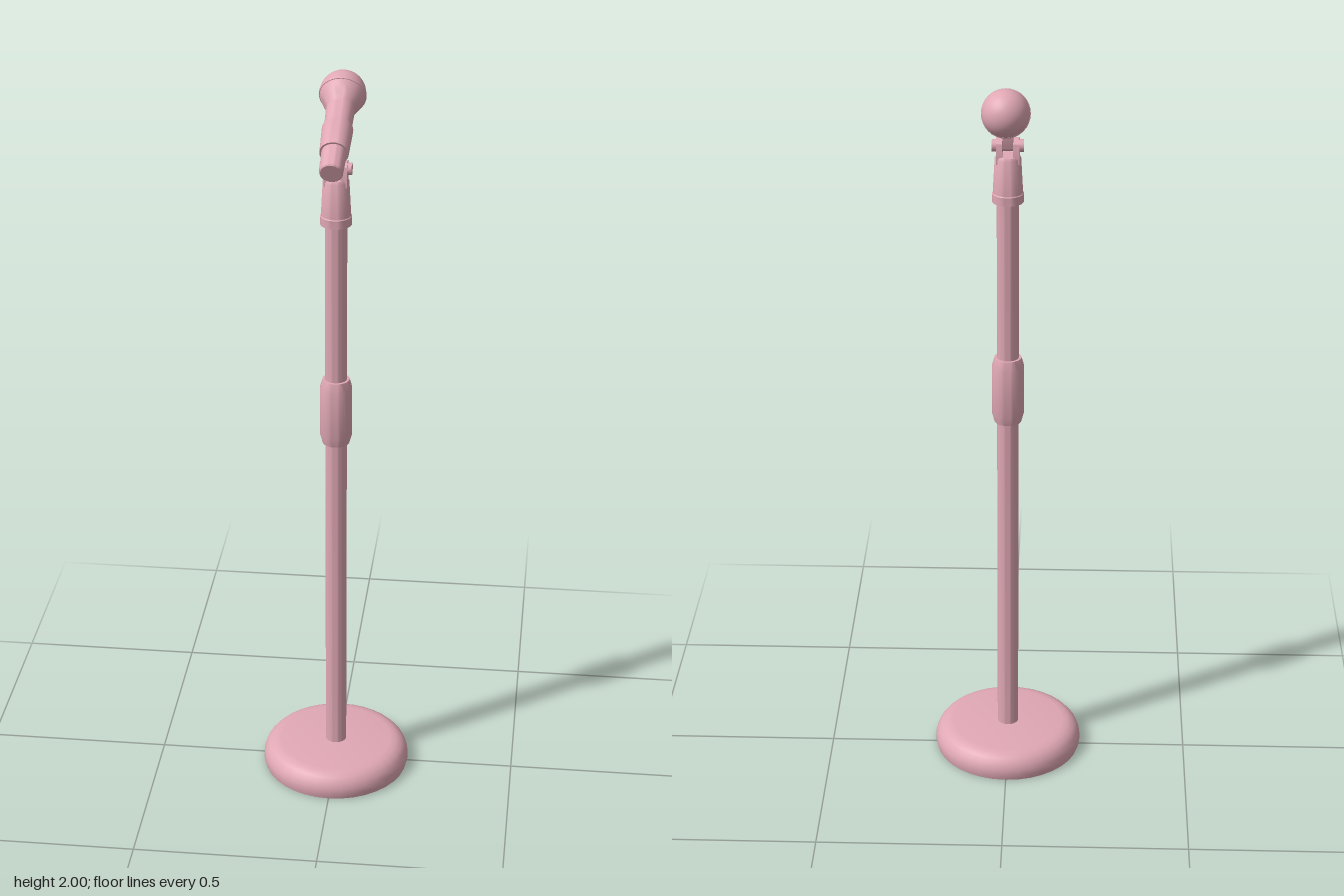
import * as THREE from 'three';
import { toCreasedNormals } from 'three/addons/utils/BufferGeometryUtils.js';

const material = new THREE.MeshStandardMaterial({ color: 0xe0a8b4 });

function add(parent, name, geometry, x = 0, y = 0, z = 0) {
  const mesh = new THREE.Mesh(geometry, material);
  mesh.name = name;
  mesh.position.set(x, y, z);
  parent.add(mesh);
  return mesh;
}

// Turned part from [radius, height] pairs, listed bottom to top on the outside
function turned(points, segments = 32) {
  const profile = points.map(([r, y]) => new THREE.Vector2(r, y));
  return toCreasedNormals(new THREE.LatheGeometry(profile, segments), 0.6);
}

// Upright plate with a round top, thickness along x, centred on its pivot
function roundedPlate(radius, drop, thickness) {
  const shape = new THREE.Shape();
  shape.moveTo(-radius, -drop);
  shape.lineTo(radius, -drop);
  shape.lineTo(radius, 0);
  shape.absarc(0, 0, radius, 0, Math.PI, false);
  shape.closePath();
  const geometry = new THREE.ExtrudeGeometry(shape, { depth: thickness, bevelEnabled: false, curveSegments: 16 });
  geometry.translate(0, 0, -thickness / 2);
  geometry.rotateY(Math.PI / 2);
  return toCreasedNormals(geometry, 0.6);
}

function createStand() {
  const stand = new THREE.Group();
  stand.name = 'stand';
  stand.position.z = 0.01;

  // Domed foot, hollow underneath
  add(stand, 'base', turned([
    [0, 0.055], [0.17, 0.055], [0.186, 0.045], [0.193, 0.025], [0.194, 0],
    [0.201, 0], [0.205, 0.015], [0.204, 0.032], [0.198, 0.048], [0.187, 0.061],
    [0.172, 0.069], [0.155, 0.072], [0, 0.072],
  ], 36));

  // Pole, its end showing below the foot
  add(stand, 'pole', turned([
    [0, 0.045], [0.029, 0.045], [0.029, 1.7], [0, 1.7],
  ]));

  // Height adjusting grip
  add(stand, 'heightClutch', turned([
    [0.029, 1.02], [0.036, 1.02], [0.043, 1.045], [0.043, 1.182], [0.036, 1.207], [0.029, 1.207],
  ]));

  // Tapered socket on top of the pole
  add(stand, 'clipSocket', turned([
    [0.029, 1.647], [0.041, 1.647], [0.041, 1.67], [0.039, 1.672], [0.034, 1.765], [0.03, 1.772], [0, 1.772],
  ]));

  // Fork and pivot bolt
  const pivotY = 1.798;
  for (const side of [-1, 1]) {
    add(stand, 'forkProng', roundedPlate(0.022, 0.045, 0.016), side * 0.022, pivotY, 0);
    const knob = new THREE.CylinderGeometry(0.016, 0.016, 0.012, 20);
    knob.rotateZ(Math.PI / 2);
    add(stand, 'pivotKnob', knob, side * 0.035, pivotY, 0);
  }
  const bolt = new THREE.CylinderGeometry(0.007, 0.007, 0.07, 16);
  bolt.rotateZ(Math.PI / 2);
  add(stand, 'pivotBolt', bolt, 0, pivotY, 0);

  // Tongue hanging from the clip between the prongs
  const tongue = roundedPlate(0.018, 0.055, 0.026);
  tongue.rotateX(Math.PI);
  add(stand, 'clipTongue', tongue, 0, pivotY + 0.004, 0);
  return stand;
}

function createMicrophone() {
  const mic = new THREE.Group();
  mic.name = 'microphone';

  // Tapered handle, flaring into the collar of the head
  add(mic, 'handle', turned([
    [0, 0], [0.027, 0], [0.03, 0.003], [0.037, 0.235], [0.037, 0.244],
    [0.04, 0.249], [0.047, 0.262], [0.055, 0.28], [0.058, 0.291], [0.05, 0.291],
  ]));

  // Mesh ball and the band around it
  add(mic, 'grille', new THREE.SphereGeometry(0.06, 32, 24), 0, 0.304, 0);
  add(mic, 'grilleBand', turned([
    [0.055, 0.291], [0.0605, 0.292], [0.0615, 0.296], [0.0615, 0.301], [0.0605, 0.305], [0.055, 0.306],
  ]));

  // Holder wrapped around the handle
  add(mic, 'clip', turned([
    [0.03, 0.075], [0.037, 0.075], [0.04, 0.165], [0.039, 0.168], [0.034, 0.168],
  ]));

  mic.position.set(0, 1.828, 0.128);
  mic.rotation.x = -THREE.MathUtils.degToRad(68.4);
  return mic;
}

export function createModel() {
  const model = new THREE.Group();
  model.name = 'microphoneStand';
  model.add(createStand(), createMicrophone());
  return model;
}
